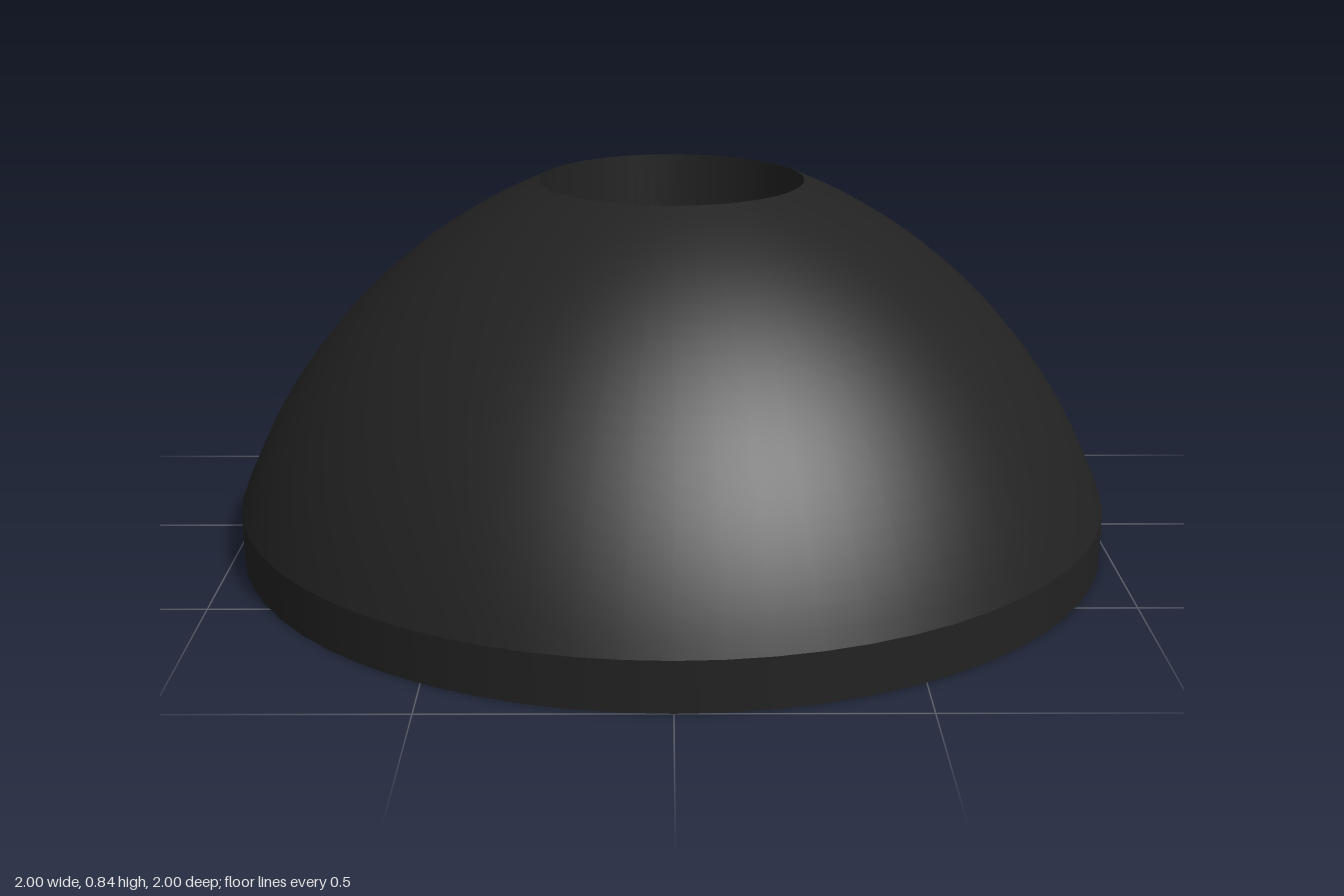
import * as THREE from 'three';

const SEGMENTS = 64;
const RADIUS = 1, HOLE = 0.3, RIM = 0.11, TOP = 0.84;

// Shallow arc from the rim up to the edge of the hole
function domeProfile(steps = 24) {
  const cx = -0.168, cy = -0.309;
  const a0 = Math.atan2(RIM - cy, RADIUS - cx);
  const a1 = Math.atan2(TOP - cy, HOLE - cx);
  const r0 = Math.hypot(RADIUS - cx, RIM - cy);
  const r1 = Math.hypot(HOLE - cx, TOP - cy);
  return Array.from({ length: steps + 1 }, (_, i) => {
    const t = i / steps;
    const a = a0 + (a1 - a0) * t, r = r0 + (r1 - r0) * t;
    return [cx + r * Math.cos(a), cy + r * Math.sin(a)];
  });
}

export function createModel() {
  const group = new THREE.Group();
  group.name = 'domedFoot';
  const material = new THREE.MeshStandardMaterial({ color: 0x222222 });

  // Each surface is its own lathe, so the edges between them stay sharp
  const addSurface = (name, profile) => {
    const points = profile.map(([x, y]) => new THREE.Vector2(x, y));
    const mesh = new THREE.Mesh(new THREE.LatheGeometry(points, SEGMENTS), material);
    mesh.name = name;
    group.add(mesh);
  };

  addSurface('base', [[HOLE, 0], [RADIUS, 0]]);
  addSurface('rimBand', [[RADIUS, 0], [RADIUS, RIM]]);
  addSurface('dome', domeProfile());
  addSurface('holeWall', [[HOLE, TOP], [HOLE, 0]]);

  return group;
}
